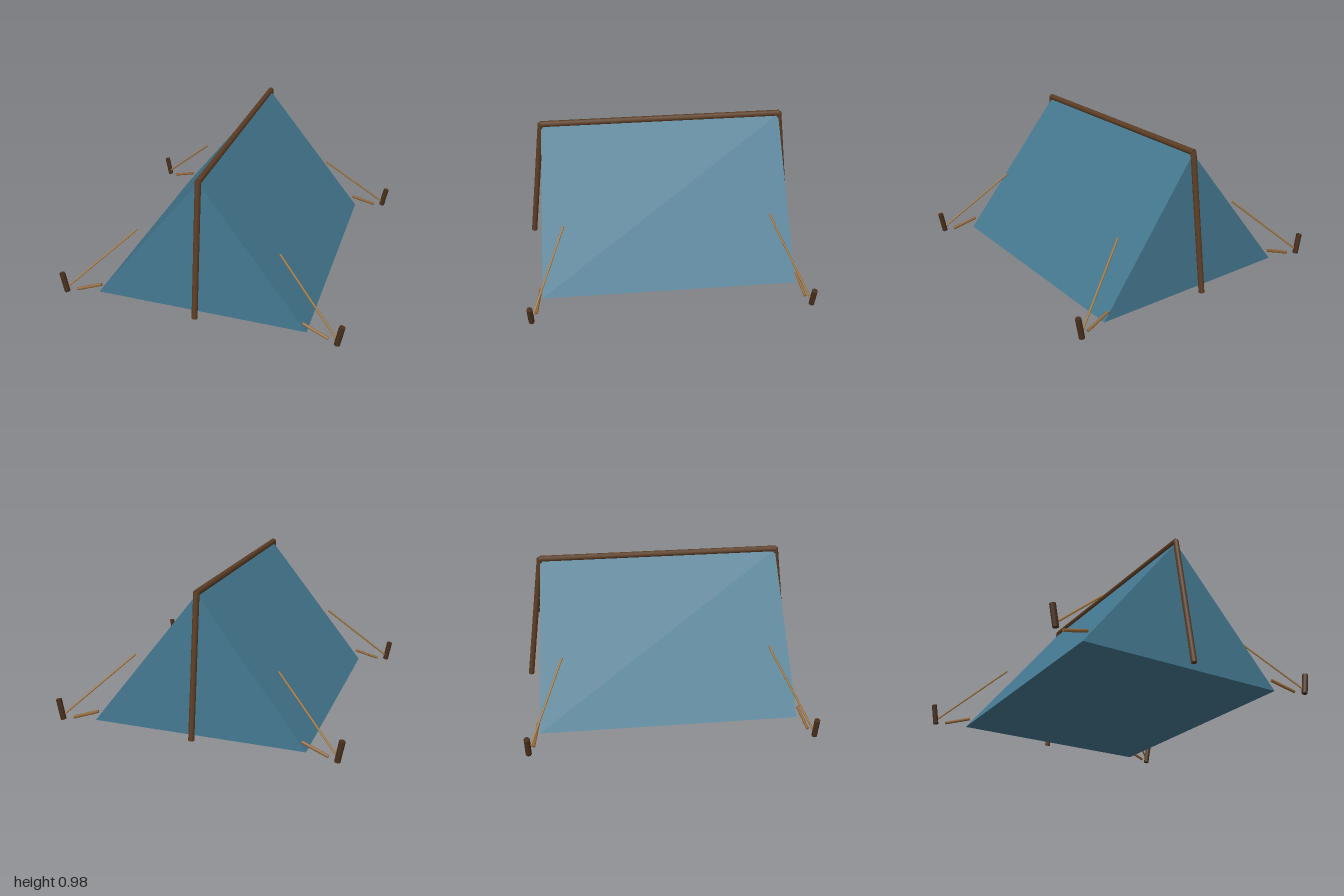
import * as THREE from 'three';

const mat = (name, color) => {
  const m = new THREE.MeshStandardMaterial({ color });
  m.name = name;
  return m;
};

// Round rod between two points
function rod(name, a, b, radius, material, sides = 8) {
  const from = new THREE.Vector3(...a), to = new THREE.Vector3(...b);
  const dir = to.clone().sub(from);
  const mesh = new THREE.Mesh(new THREE.CylinderGeometry(radius, radius, dir.length(), sides), material);
  mesh.position.copy(from).add(to).multiplyScalar(0.5);
  mesh.quaternion.setFromUnitVectors(new THREE.Vector3(0, 1, 0), dir.normalize());
  mesh.name = name;
  return mesh;
}

// Closed ridge tent: two slopes, two leaning gables and a floor
function tentGeometry(w, d, h, ridge) {
  const p = [[-w, 0, d], [w, 0, d], [0, h, ridge], [-w, 0, -d], [w, 0, -d], [0, h, -ridge]];
  const faces = [
    0, 1, 2, 4, 3, 5,
    1, 4, 5, 1, 5, 2,
    3, 0, 2, 3, 2, 5,
    0, 3, 4, 0, 4, 1,
  ];
  const geo = new THREE.BufferGeometry();
  geo.setAttribute('position', new THREE.Float32BufferAttribute(faces.flatMap((i) => p[i]), 3));
  geo.computeVertexNormals();
  return geo;
}

export function createModel() {
  const canvas = mat('blue canvas', 0x44778f);
  const wood = mat('brown wood', 0x5c3d24);
  const darkWood = mat('dark wood', 0x4a301d);
  const rope = mat('tan rope', 0xa57c45);
  const strap = mat('strap brown', 0x93693a);

  const group = new THREE.Group();
  group.name = 'tent';

  const body = new THREE.Mesh(tentGeometry(0.74, 0.888, 0.945, 0.838), canvas);
  body.name = 'canvasBody';
  group.add(body);

  // Pole frame
  group.add(rod('ridgePole', [0, 0.955, -0.843], [0, 0.955, 0.843], 0.021, wood, 10));
  for (const sz of [1, -1]) {
    const end = sz > 0 ? 'front' : 'back';
    group.add(rod(end + 'Pole', [0, 0.003, sz * 0.973], [0, 0.96, sz * 0.84], 0.02, wood, 10));

    // Corner stakes with guy ropes and short straps
    for (const sx of [1, -1]) {
      const corner = new THREE.Group();
      corner.name = end + (sx > 0 ? 'Left' : 'Right') + 'Anchor';
      const at = (x, y, z) => [sx * x, y, sz * z];
      corner.add(
        rod('stake', at(0.952, 0.004, 0.953), at(0.978, 0.148, 0.953), 0.02, darkWood, 8),
        rod('guyRope', at(0.505, 0.447, 0.714), at(0.952, 0.035, 0.948), 0.007, rope, 6),
        rod('cornerStrap', at(0.713, 0.07, 0.893), at(0.89, 0.014, 0.923), 0.011, strap, 6),
      );
      group.add(corner);
    }
  }
  return group;
}
